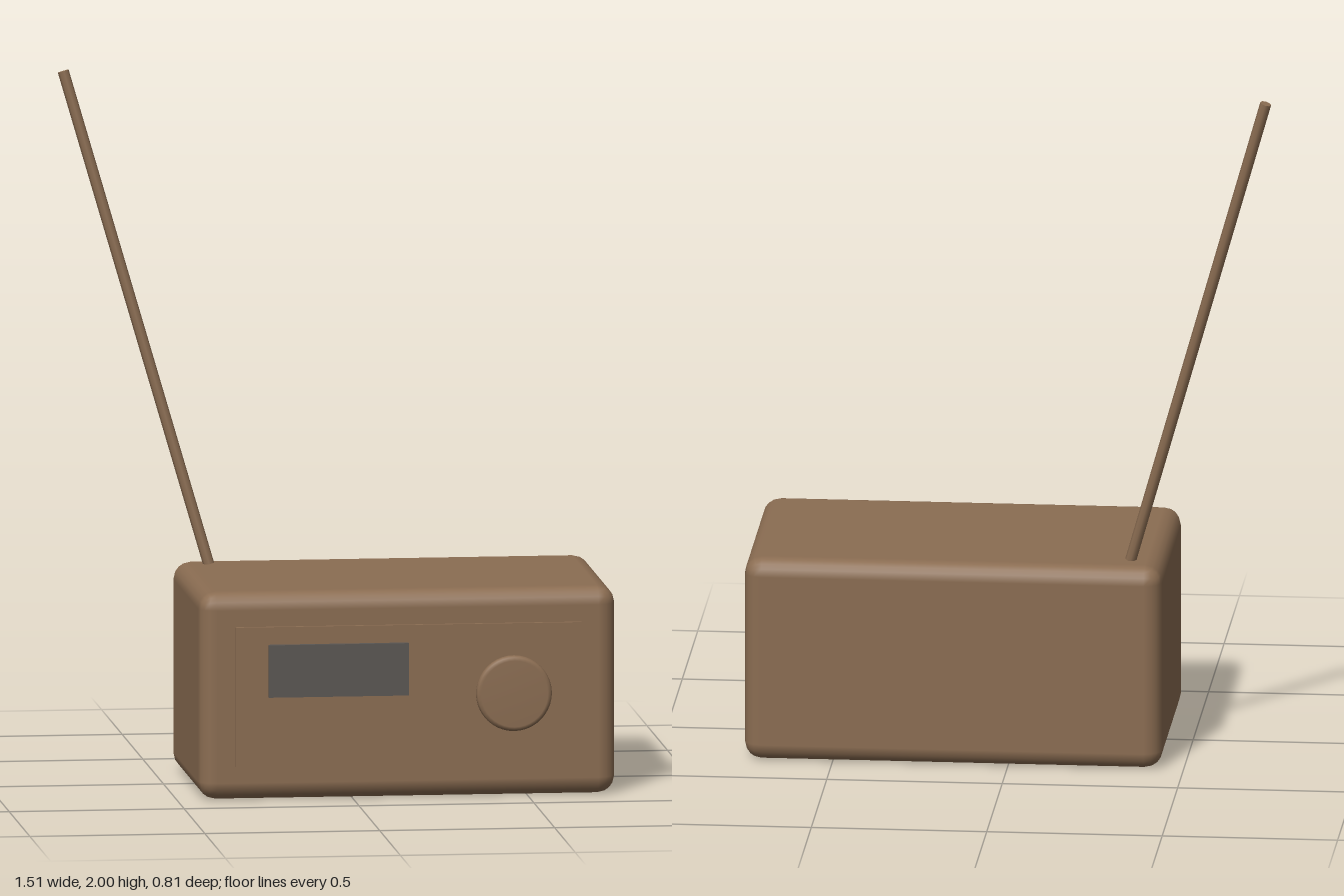
import * as THREE from 'three';
import { RoundedBoxGeometry } from 'three/addons/geometries/RoundedBoxGeometry.js';

export function createModel() {
  const model = new THREE.Group();
  model.name = 'radio';

  const brown = new THREE.MeshStandardMaterial({ name: 'brown casing', color: 0x8b6d52 });
  const grey = new THREE.MeshStandardMaterial({ name: 'dark grey display', color: 0x5a5653 });

  const add = (name, geometry, material, x, y, z) => {
    const mesh = new THREE.Mesh(geometry, material);
    mesh.name = name;
    mesh.position.set(x, y, z);
    model.add(mesh);
    return mesh;
  };

  // Rounded casing
  add('casing', new RoundedBoxGeometry(1.19, 0.595, 0.695, 2, 0.05), brown, 0.157, 0.3, 0.01);

  // Raised front panel and display
  add('frontPanel', new THREE.BoxGeometry(0.99, 0.4, 0.02), brown, 0.157, 0.3, 0.36);
  add('display', new THREE.BoxGeometry(0.4, 0.15, 0.02), grey, -0.044, 0.375, 0.375);

  // Tuning knob with softened rims
  const profile = [
    [0, 0], [0.095, 0], [0.104, 0.004], [0.108, 0.012],
    [0.108, 0.024], [0.104, 0.032], [0.095, 0.036], [0, 0.036],
  ].map(([r, h]) => new THREE.Vector2(r, h));
  const knob = add('tuningKnob', new THREE.LatheGeometry(profile, 40), brown, 0.456, 0.302, 0.369);
  knob.rotation.x = Math.PI / 2;

  // Slanted aerial rising from the rear right corner
  const base = new THREE.Vector3(-0.343, 0.597, -0.235);
  const tip = new THREE.Vector3(-0.741, 1.996, -0.387);
  const axis = tip.clone().sub(base);
  const centre = base.clone().add(tip).multiplyScalar(0.5);
  const aerial = add('aerial', new THREE.CylinderGeometry(0.016, 0.016, axis.length(), 8), brown,
    centre.x, centre.y, centre.z);
  aerial.quaternion.setFromUnitVectors(new THREE.Vector3(0, 1, 0), axis.normalize());

  return model;
}
